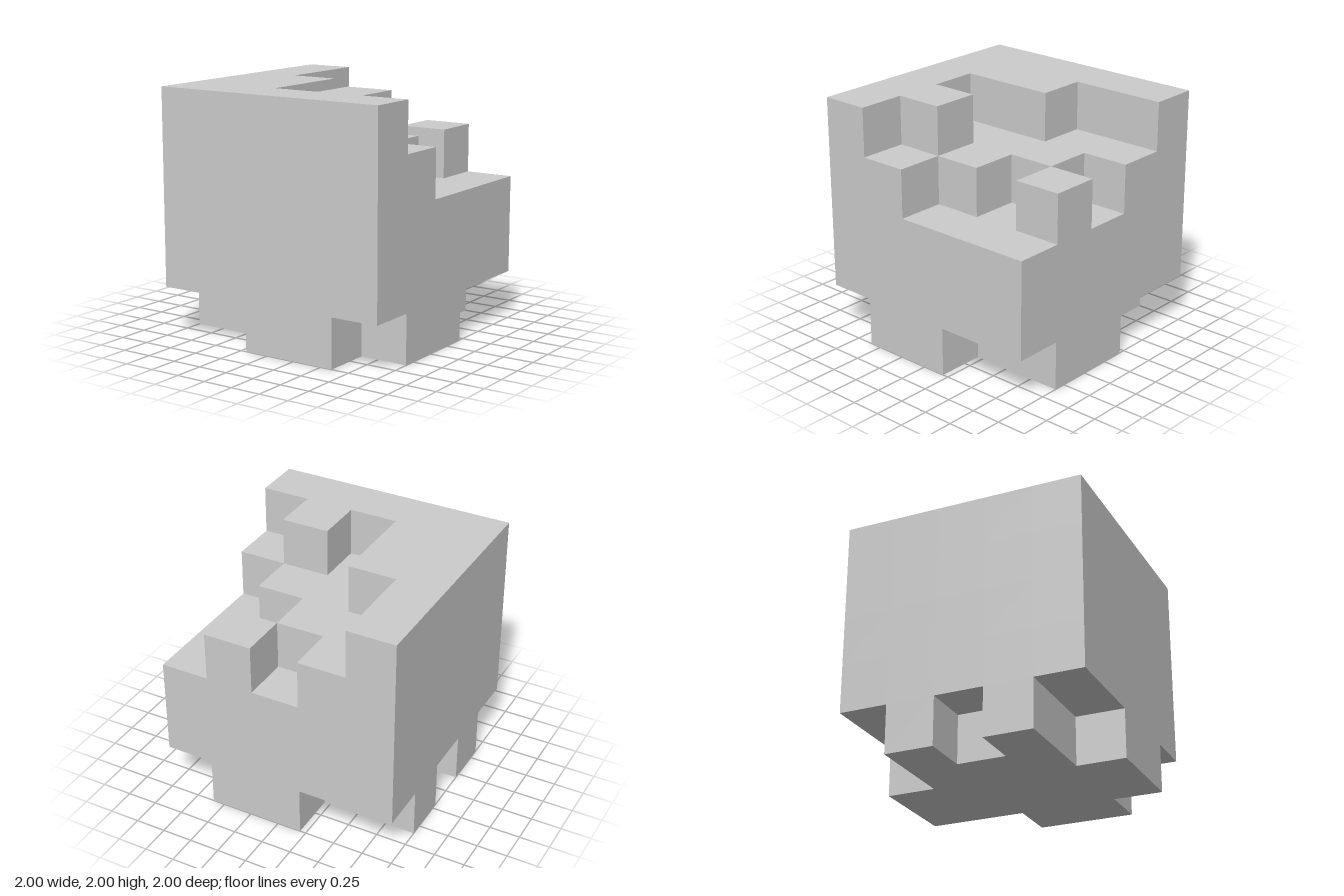
import * as THREE from 'three';
import { mergeGeometries, mergeVertices } from 'three/addons/utils/BufferGeometryUtils.js';

const N = 5;          // cells per side
const CELL = 2 / N;   // cell size

// Plan maps: rows run back to front, columns run from -x to +x.
// Number of cells up to the top of each column
const TOPS = ['54343', '54433', '55443', '55454', '55555'];
// First filled cell of each column (1 = notched away at the bottom)
const BOTTOMS = ['11001', '00001', '10000', '00000', '11001'];

function isFilled(i, j, k) {
  if (i < 0 || k < 0 || i >= N || k >= N) return false;
  return j >= Number(BOTTOMS[k][i]) && j < Number(TOPS[k][i]);
}

// One square per direction, facing outward from a cell's centre
const SIDES = [
  [1, 0, 0], [-1, 0, 0], [0, 1, 0], [0, -1, 0], [0, 0, 1], [0, 0, -1],
].map((d) => {
  const dir = new THREE.Vector3(...d);
  const turn = new THREE.Quaternion().setFromUnitVectors(new THREE.Vector3(0, 0, 1), dir);
  const square = new THREE.PlaneGeometry(CELL, CELL)
    .translate(0, 0, CELL / 2)
    .applyQuaternion(turn);
  return { d, square };
});

// Closed skin of the stepped solid: only faces with no neighbour are kept
function steppedCubeGeometry() {
  const faces = [];
  for (let i = 0; i < N; i++) {
    for (let j = 0; j < N; j++) {
      for (let k = 0; k < N; k++) {
        if (!isFilled(i, j, k)) continue;
        for (const { d, square } of SIDES) {
          if (isFilled(i + d[0], j + d[1], k + d[2])) continue;
          faces.push(square.clone().translate(
            (i + 0.5) * CELL - 1, (j + 0.5) * CELL, (k + 0.5) * CELL - 1));
        }
      }
    }
  }
  const skin = mergeGeometries(faces);
  skin.deleteAttribute('uv');
  return mergeVertices(skin, 1e-4);
}

export function createModel() {
  const group = new THREE.Group();
  group.name = 'notchedCube';
  const material = new THREE.MeshStandardMaterial({ color: 0xcccccc, flatShading: true });
  const body = new THREE.Mesh(steppedCubeGeometry(), material);
  body.name = 'steppedBody';
  group.add(body);
  return group;
}
